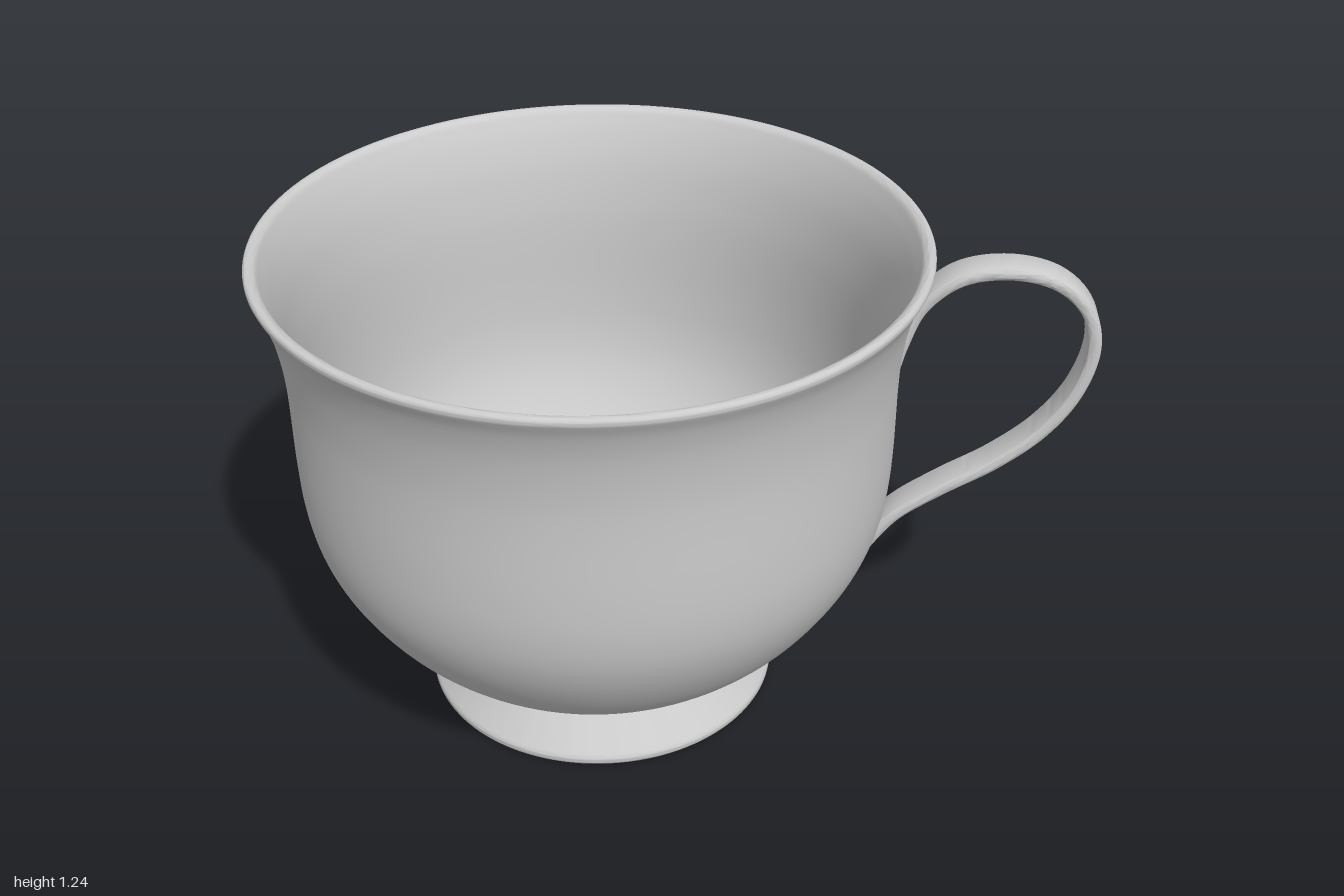
import * as THREE from 'three';
import { toCreasedNormals, mergeVertices } from 'three/addons/utils/BufferGeometryUtils.js';

const AXIS_X = -0.2;
const material = new THREE.MeshStandardMaterial({ color: 0xcccccc });
const v2 = (list) => list.map(([x, y]) => new THREE.Vector2(x, y));
const smooth = (list, n) => new THREE.SplineCurve(v2(list)).getPoints(n);

function addMesh(group, name, geometry) {
  const mesh = new THREE.Mesh(geometry, material);
  mesh.name = name;
  group.add(mesh);
  return mesh;
}

function addLathe(group, name, points) {
  const geometry = toCreasedNormals(new THREE.LatheGeometry(points, 128), 0.6);
  addMesh(group, name, geometry).position.x = AXIS_X;
}

export function createModel() {
  const cup = new THREE.Group();
  cup.name = 'teacup';

  // Bowl: outer wall, rolled lip, inner wall and flat floor in one profile
  const outer = smooth([[0.362, 0.125], [0.48, 0.2], [0.58, 0.295], [0.655, 0.4], [0.702, 0.5],
    [0.725, 0.6], [0.733, 0.72], [0.734, 0.9], [0.739, 1.0], [0.754, 1.1], [0.776, 1.175], [0.797, 1.218]], 48);
  const lip = smooth([[0.8, 1.225], [0.799, 1.234], [0.793, 1.239], [0.783, 1.239], [0.773, 1.233]], 10);
  const inner = smooth([[0.768, 1.225], [0.746, 1.175], [0.724, 1.1], [0.709, 1.0], [0.703, 0.9],
    [0.701, 0.72], [0.693, 0.6], [0.671, 0.5], [0.625, 0.4], [0.552, 0.3], [0.45, 0.21], [0.335, 0.147]], 48);
  const floor = v2([[0.328, 0.145], [0, 0.145]]);
  addLathe(cup, 'bowl', [...outer, ...lip, ...inner, ...floor]);

  // Flared foot ring, hollow underneath
  const footEdge = smooth([[0.425, 0], [0.438, 0.002], [0.446, 0.012], [0.446, 0.024], [0.439, 0.035]], 12);
  const footNeck = smooth([[0.372, 0.1], [0.365, 0.11], [0.364, 0.12], [0.37, 0.132]], 8);
  addLathe(cup, 'foot', [...v2([[0, 0.1], [0.32, 0.1], [0.41, 0.004]]), ...footEdge, ...footNeck]);

  // Handle: rounded flat band swept along a looping curve
  const path = new THREE.CatmullRomCurve3([[0.515, 0.92], [0.535, 1.0], [0.575, 1.1], [0.66, 1.175],
    [0.78, 1.196], [0.89, 1.168], [0.96, 1.1], [0.984, 1.005], [0.955, 0.88], [0.885, 0.77],
    [0.78, 0.675], [0.65, 0.59], [0.545, 0.51], [0.485, 0.43], [0.465, 0.395]]
    .map(([x, y]) => new THREE.Vector3(x, y, 0)));
  const w = 0.046, t = 0.016, r = 0.012;
  const band = new THREE.Shape();
  band.moveTo(-w + r, -t);
  band.lineTo(w - r, -t);
  band.absarc(w - r, -t + r, r, -Math.PI / 2, 0);
  band.absarc(w - r, t - r, r, 0, Math.PI / 2);
  band.absarc(-w + r, t - r, r, Math.PI / 2, Math.PI);
  band.absarc(-w + r, -t + r, r, Math.PI, Math.PI * 1.5);
  const swept = new THREE.ExtrudeGeometry(band, { steps: 96, curveSegments: 5, extrudePath: path });
  swept.deleteAttribute('uv');
  swept.deleteAttribute('normal');
  addMesh(cup, 'handle', toCreasedNormals(mergeVertices(swept, 1e-5), 0.7));

  return cup;
}
